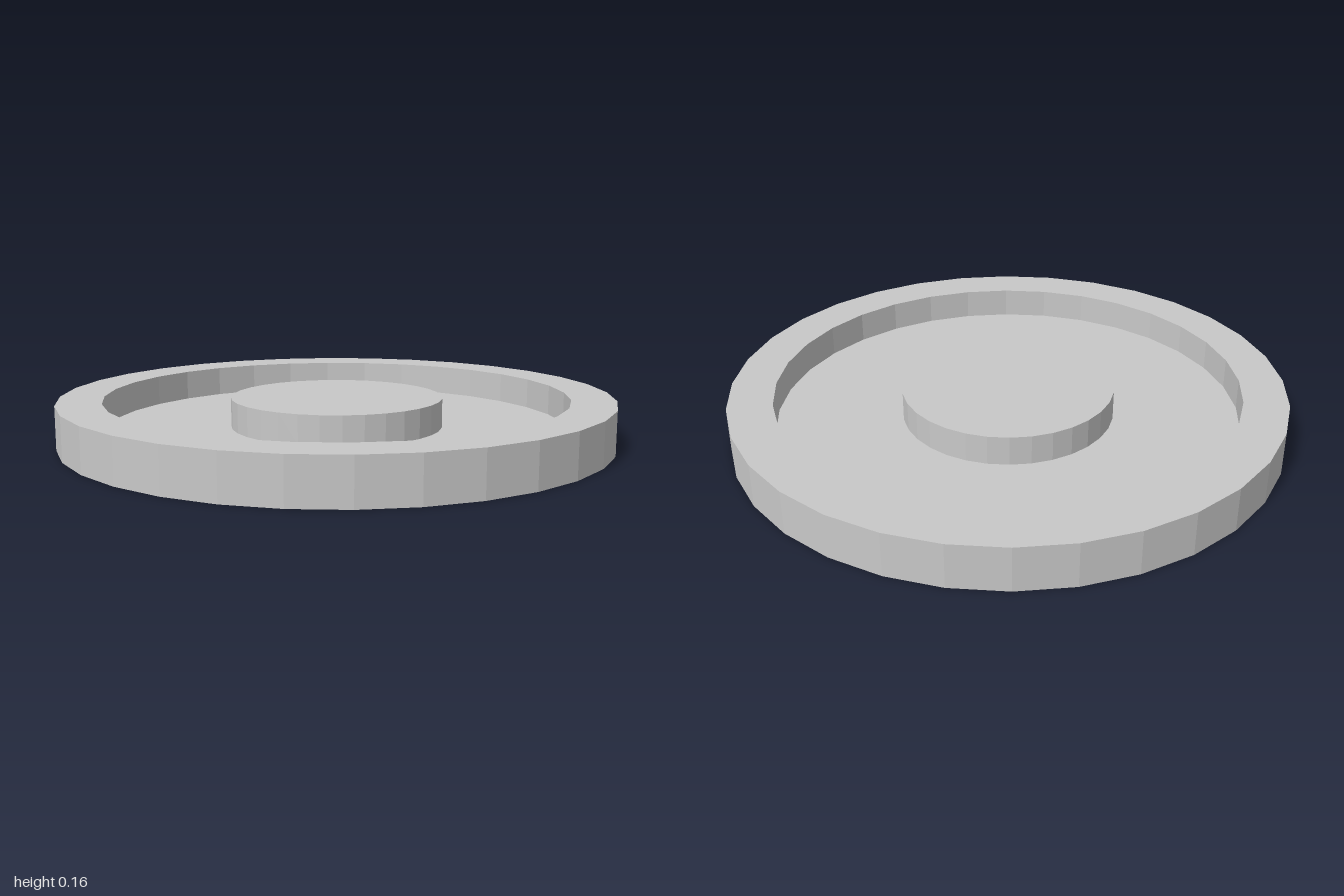
import * as THREE from 'three';

const SIDES = 32;

// Turned solid from [radius, height] pairs, with faceted sides
function turned(name, profile, material) {
  const points = profile.map(([r, y]) => new THREE.Vector2(r, y));
  const mesh = new THREE.Mesh(new THREE.LatheGeometry(points, SIDES), material);
  mesh.name = name;
  return mesh;
}

export function createModel() {
  const model = new THREE.Group();
  model.name = 'roundDish';

  const grey = new THREE.MeshStandardMaterial({ color: 0xc8c8c8, flatShading: true });
  grey.name = 'light grey';

  const rimTop = 0.157, floorTop = 0.045, hubTop = 0.151;

  // Base plate with its raised rim
  model.add(turned('baseAndRim', [
    [0, 0], [1, 0], [1, rimTop], [0.84, rimTop], [0.84, floorTop], [0, floorTop],
  ], grey));

  // Raised disc in the middle, just below the rim
  model.add(turned('centreHub', [
    [0.385, floorTop], [0.385, hubTop], [0, hubTop],
  ], grey));

  return model;
}
